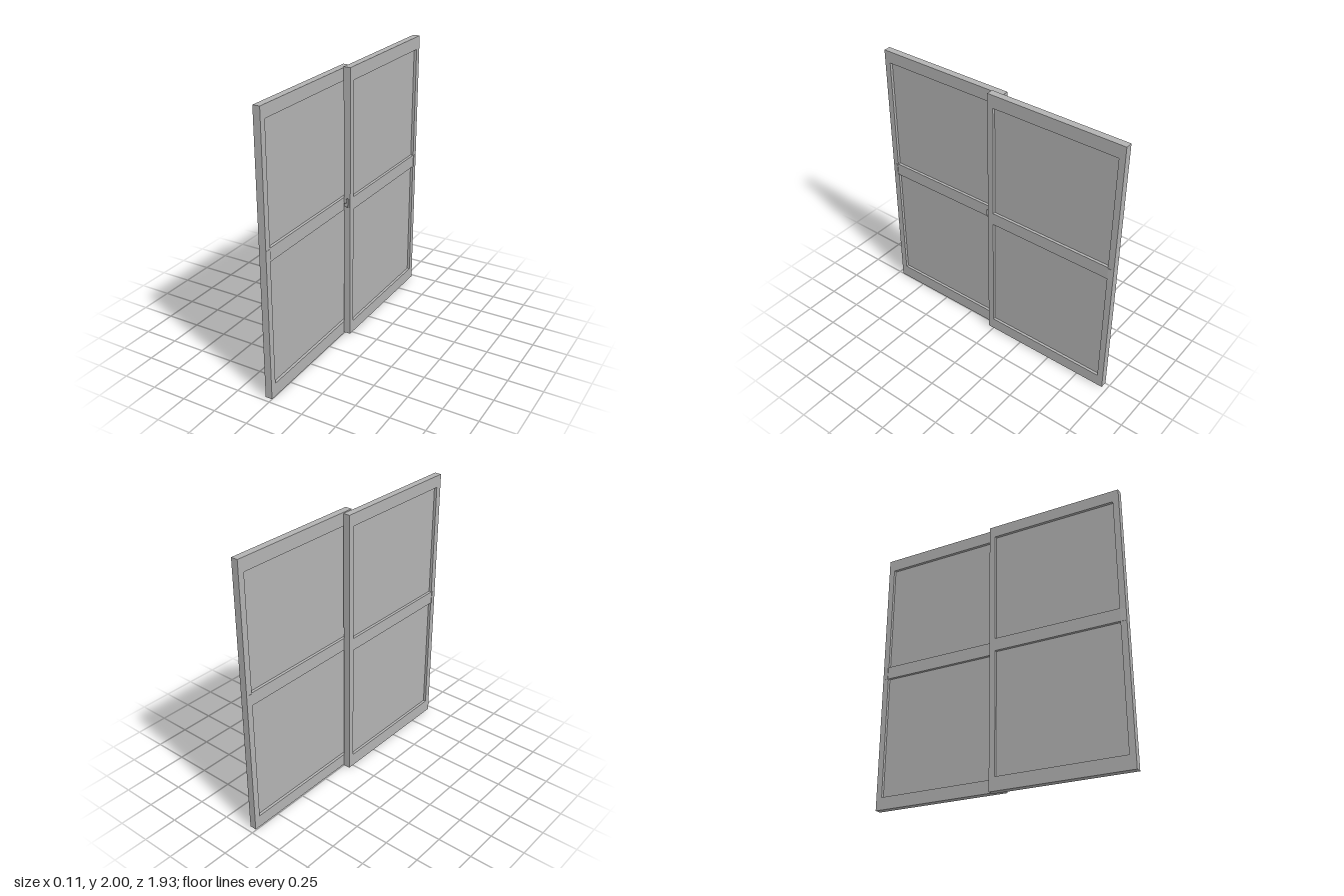
import * as THREE from 'three';

const grey = new THREE.MeshStandardMaterial({ color: 0xb2b2b2 });
grey.name = 'grey';

function add(parent, name, geometry, x = 0, y = 0, z = 0) {
  const mesh = new THREE.Mesh(geometry, grey);
  mesh.name = name;
  mesh.position.set(x, y, z);
  parent.add(mesh);
  return mesh;
}

// Box given by its lower and upper corners
function block(parent, name, [x0, y0, z0], [x1, y1, z1]) {
  return add(parent, name, new THREE.BoxGeometry(x1 - x0, y1 - y0, z1 - z0),
    (x0 + x1) / 2, (y0 + y1) / 2, (z0 + z1) / 2);
}

// Rectangular path, for the frame outline and its openings
function rect(Type, z0, y0, z1, y1) {
  const p = new Type();
  p.moveTo(z0, y0);
  p.lineTo(z1, y0);
  p.lineTo(z1, y1);
  p.lineTo(z0, y1);
  p.closePath();
  return p;
}

const T = 0.05; // sash thickness
const W = 1.007; // sash width
const STILE = 0.044;

// One sliding sash; local z runs from the meeting stile (0) to the outer stile (W)
function createSash(name, y0, y1) {
  const sash = new THREE.Group();
  sash.name = name;
  const openings = [[0.10, 0.992], [1.085, 1.907]];

  // Frame with two openings, extruded across its thickness
  const outline = rect(THREE.Shape, 0, y0, W, y1);
  for (const [a, b] of openings) {
    outline.holes.push(rect(THREE.Path, STILE, a, W - STILE, b));
  }
  const frameGeometry = new THREE.ExtrudeGeometry(outline, { depth: T, bevelEnabled: false });
  frameGeometry.rotateY(-Math.PI / 2); // shape x becomes z, depth becomes -x
  frameGeometry.translate(T / 2, 0, 0);
  add(sash, 'frame', frameGeometry);

  // Recessed panes
  for (const [a, b] of openings) {
    block(sash, 'pane', [-0.005, a, STILE], [0.005, b, W - STILE]);
  }

  // Wedge-shaped finger pulls on both faces of the outer stile
  for (const side of [-1, 1]) {
    const wedge = new THREE.Shape();
    wedge.moveTo(0, W - 0.040);
    wedge.lineTo(side * (T / 2 + 0.004), W - 0.040);
    wedge.lineTo(side * T / 2, W - 0.004);
    wedge.lineTo(0, W - 0.004);
    wedge.closePath();
    const pull = new THREE.ExtrudeGeometry(wedge, { depth: 0.09, bevelEnabled: false });
    pull.rotateX(Math.PI / 2); // shape y becomes z, depth becomes -y
    add(sash, 'fingerPull', pull, 0, 1.08, 0);
  }
  return sash;
}

// Small crescent lock on the edge of the meeting stile
function createLatch() {
  const latch = new THREE.Group();
  latch.name = 'latch';
  block(latch, 'latchPlate', [0.010, 1.020, 0.041], [0.044, 1.078, 0.046]);
  const hub = new THREE.CylinderGeometry(0.011, 0.011, 0.014, 20);
  hub.rotateX(Math.PI / 2);
  add(latch, 'latchHub', hub, 0.027, 1.042, 0.052);
  const cam = add(latch, 'latchCrescent',
    new THREE.TorusGeometry(0.016, 0.004, 8, 20, Math.PI), 0.027, 1.042, 0.053);
  cam.rotation.z = Math.PI * 0.75;
  block(latch, 'latchLever', [0.033, 1.042, 0.050], [0.042, 1.088, 0.060]);
  return latch;
}

export function createModel() {
  const model = new THREE.Group();
  model.name = 'slidingWindow';

  const frontSash = createSash('frontSash', 0.003, 1.993);
  frontSash.position.set(-T / 2 - 0.0005, 0, -0.041);
  model.add(frontSash);

  // The second sash is turned round so its outer stile points to the back
  const rearSash = createSash('rearSash', 0.010, 2.0);
  rearSash.position.set(T / 2 + 0.0005, 0, 0.041);
  rearSash.rotation.y = Math.PI;
  model.add(rearSash);

  model.add(createLatch());
  return model;
}
